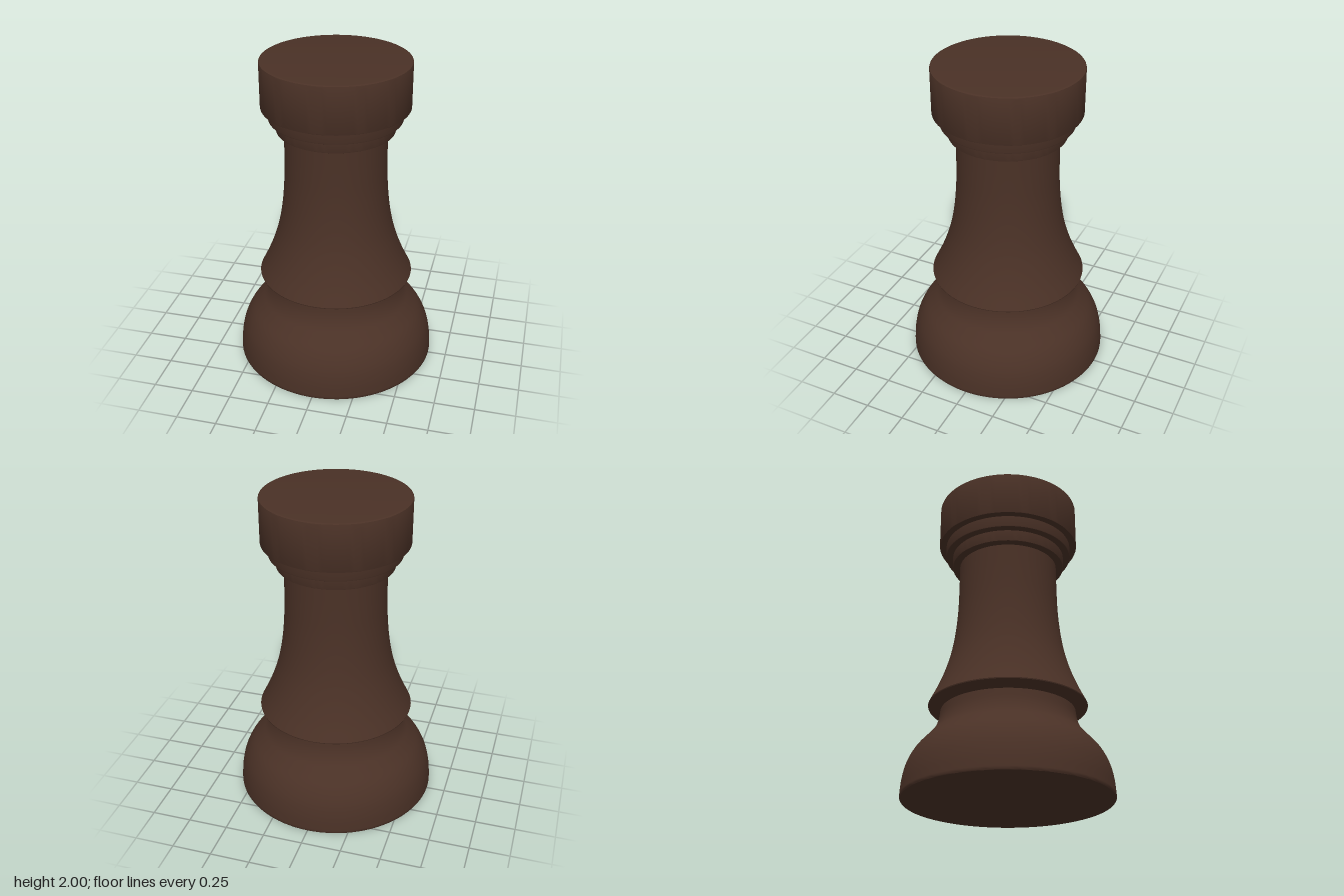
import * as THREE from 'three';
import { toCreasedNormals } from 'three/addons/utils/BufferGeometryUtils.js';

const SEGMENTS = 96;

export function createModel() {
  const group = new THREE.Group();
  group.name = 'chessRook';
  const darkWood = new THREE.MeshStandardMaterial({ color: 0x4a3126 });
  darkWood.name = 'darkWood';

  // Turns a bottom-to-top profile of [radius, height] around the y axis.
  const turn = (name, profile) => {
    const points = profile.map(([r, y]) => new THREE.Vector2(r, y));
    const geometry = toCreasedNormals(new THREE.LatheGeometry(points, SEGMENTS), 0.6);
    const mesh = new THREE.Mesh(geometry, darkWood);
    mesh.name = name;
    group.add(mesh);
  };

  // Smooth curve through a few [radius, height] points.
  const smooth = (profile, count) =>
    new THREE.SplineCurve(profile.map(([r, y]) => new THREE.Vector2(r, y)))
      .getPoints(count).map((p) => [p.x, p.y]);

  // Bell-shaped foot with a flat underside
  turn('base', [
    [0, 0], [0.63, 0], [0.634, 0.006],
    ...smooth([[0.634, 0.02], [0.626, 0.11], [0.604, 0.2], [0.56, 0.285],
      [0.495, 0.36], [0.45, 0.415], [0.423, 0.48], [0.412, 0.555]], 32),
  ]);

  // Flared shaft with a projecting lip
  turn('shaft', [
    [0.41, 0.55], [0.486, 0.58], [0.488, 0.586],
    ...smooth([[0.485, 0.592], [0.438, 0.69], [0.395, 0.8], [0.36, 0.92],
      [0.335, 1.06], [0.32, 1.22], [0.315, 1.38], [0.314, 1.565]], 36),
  ]);

  // Stepped rings under the head, with slightly rounded lower edges
  const ring = (name, r, y0, y1, inner) => turn(name, [
    [inner, y0], [r - 0.008, y0], [r - 0.002, y0 + 0.003], [r, y0 + 0.009], [r, y1],
  ]);
  ring('lowerRing', 0.362, 1.56, 1.64, 0.31);
  ring('upperRing', 0.407, 1.635, 1.715, 0.355);

  // Plain cylindrical head with a softened rim
  turn('head', [
    [0.4, 1.71], [0.444, 1.71], [0.449, 1.712], [0.451, 1.717],
    [0.451, 1.99], [0.449, 1.996], [0.444, 1.999], [0.436, 2], [0, 2],
  ]);

  return group;
}
